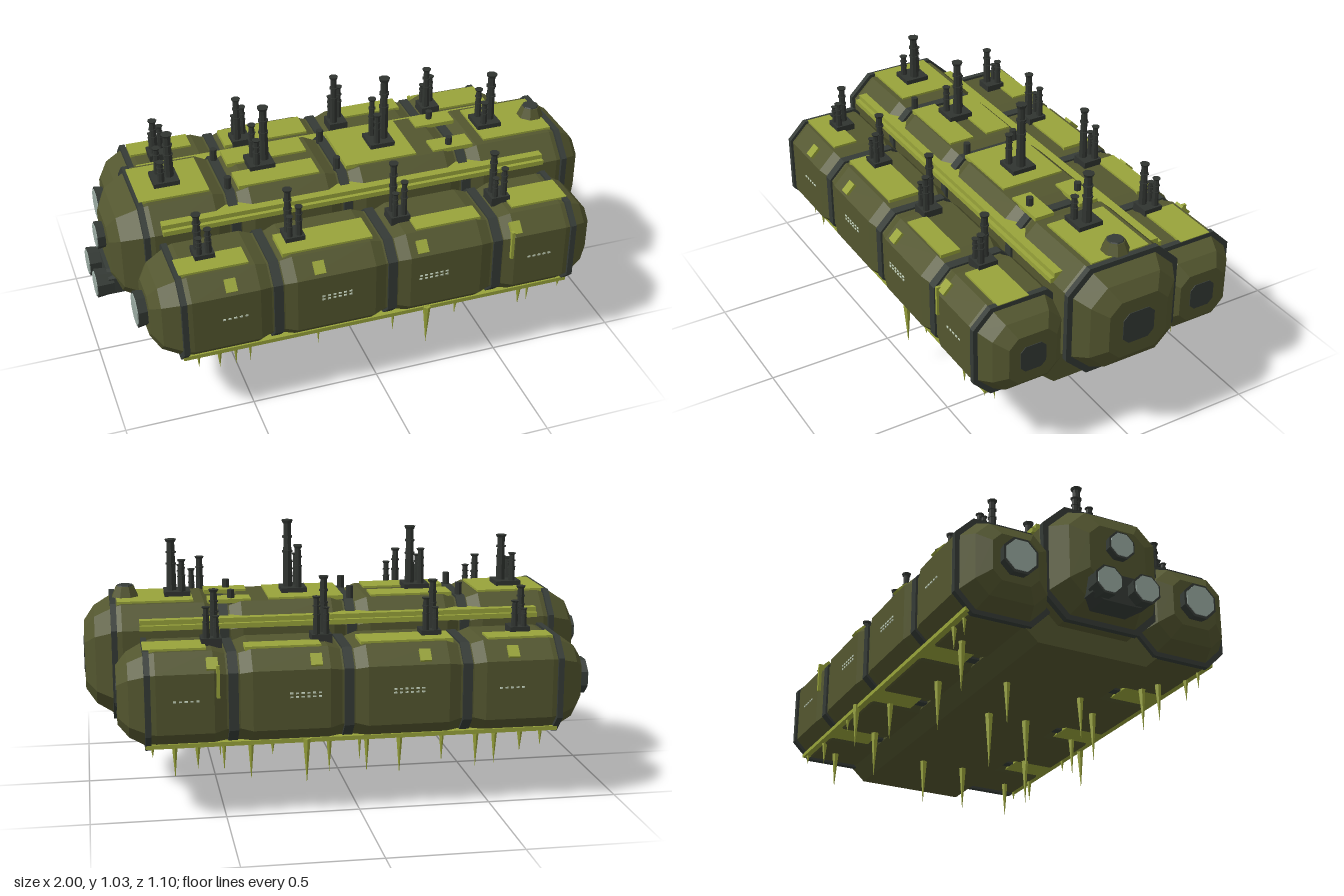
import * as THREE from 'three';

const mat = (name, hex) => {
  const m = new THREE.MeshStandardMaterial({ color: hex, flatShading: true });
  m.name = name;
  return m;
};

export function createModel() {
  const olive = mat('olive hull', 0x53562f);
  const steel = mat('dark steel', 0x353b36);
  const stackGrey = mat('stack grey', 0x303430);
  const lime = mat('lime moss', 0x98a33a);
  const glow = mat('engine glow', 0x9aaaa2);
  const pane = mat('window pane', 0xc4d2bc);

  const root = new THREE.Group();
  const add = (name, geo, material, x = 0, y = 0, z = 0, parent = root) => {
    const m = new THREE.Mesh(geo, material);
    m.name = name;
    m.position.set(x, y, z);
    parent.add(m);
    return m;
  };
  const box = (name, material, x0, x1, y0, y1, z0, z1) =>
    add(name, new THREE.BoxGeometry(x1 - x0, y1 - y0, Math.abs(z1 - z0)), material,
      (x0 + x1) / 2, (y0 + y1) / 2, (z0 + z1) / 2);

  // Chamfered octagon sections lofted along x; stations are [x, half size]
  const F = 0.62;
  const corners = [[1, -F], [1, F], [F, 1], [-F, 1], [-1, F], [-1, -F], [-F, -1], [F, -1]];
  function octLoft(stations, wide = 1) {
    const p = [];
    const pt = ([x, s], i) => [x, corners[i % 8][1] * s, corners[i % 8][0] * s * wide];
    for (let k = 0; k < stations.length - 1; k++) {
      for (let i = 0; i < 8; i++) {
        const a = pt(stations[k], i), b = pt(stations[k + 1], i);
        const c = pt(stations[k + 1], i + 1), d = pt(stations[k], i + 1);
        p.push(...a, ...b, ...c, ...a, ...c, ...d);
      }
    }
    const s0 = stations[0], s1 = stations[stations.length - 1];
    for (let i = 0; i < 8; i++) {
      p.push(s0[0], 0, 0, ...pt(s0, i), ...pt(s0, i + 1));
      p.push(s1[0], 0, 0, ...pt(s1, i + 1), ...pt(s1, i));
    }
    const g = new THREE.BufferGeometry();
    g.setAttribute('position', new THREE.Float32BufferAttribute(p, 3));
    g.computeVertexNormals();
    return g;
  }

  // Hull with faceted ends, pinched joints and dark bands
  function hull(name, y, z, h, wide, bands, stern, bow) {
    const g = new THREE.Group();
    g.name = name;
    g.position.set(0, y, z);
    root.add(g);
    const first = bands[0], last = bands[bands.length - 1];
    const st = [[stern, h * 0.5], [stern + 0.035, h * 0.77], [first, h * 0.96]];
    st.push([first + 0.03, h]);
    for (const b of bands.slice(1, -1)) {
      st.push([b - 0.07, h], [b - 0.025, h * 0.92], [b + 0.025, h * 0.92], [b + 0.07, h]);
    }
    st.push([last - 0.03, h], [last, h * 0.96], [bow - 0.04, h * 0.78], [bow, h * 0.54]);
    add(name + 'Shell', octLoft(st, wide), olive, 0, 0, 0, g);
    bands.forEach((b, i) => {
      const end = i === 0 || i === bands.length - 1;
      const w = end ? 0.011 : 0.018, s = end ? h * 1.03 : h * 0.965;
      add('hullBand', octLoft([[b - w, s], [b + w, s]], wide), steel, 0, 0, 0, g);
    });
    add('bowPlate', octLoft([[bow - 0.002, h * 0.29], [bow + 0.003, h * 0.29]], wide), steel, 0, 0, 0, g);
  }
  hull('centreHull', 0.52, 0, 0.218, 1.04, [-0.81, -0.465, -0.02, 0.47, 0.885], -0.935, 0.997);
  for (const s of [1, -1]) {
    hull('sideHull', 0.45, s * 0.365, 0.18, 1, [-0.755, -0.4, 0.045, 0.47, 0.78], -0.865, 0.887);
  }

  // Keel under the three hulls
  const keel = new THREE.Shape([[-0.22, 0.22], [0.22, 0.22], [0.28, 0.275], [0.28, 0.34], [-0.28, 0.34], [-0.28, 0.275]]
    .map(([a, b]) => new THREE.Vector2(a, b)));
  const keelGeo = new THREE.ExtrudeGeometry(keel, { depth: 1.55, bevelEnabled: false }).rotateY(Math.PI / 2);
  add('keel', keelGeo, olive, -0.75, 0, 0);

  // Engine nozzles with pale exhaust discs
  function nozzle(x0, x1, y, z, r) {
    const shell = new THREE.CylinderGeometry(r * 0.88, r, x1 - x0, 8).rotateZ(-Math.PI / 2);
    shell.rotateX(Math.PI / 8);
    add('nozzle', shell, steel, (x0 + x1) / 2, y, z);
    const disc = new THREE.CylinderGeometry(r * 0.86, r * 0.86, 0.006, 8).rotateZ(Math.PI / 2);
    add('exhaustDisc', disc.rotateX(Math.PI / 8), glow, x0 - 0.001, y, z);
  }
  nozzle(-0.965, -0.91, 0.553, 0, 0.055);
  for (const s of [1, -1]) {
    nozzle(-0.9, -0.84, 0.45, s * 0.365, 0.072);
    nozzle(-0.995, -0.93, 0.385, s * 0.075, 0.058);
  }
  add('lowerEnginePod', octLoft([[-0.95, 0.055], [-0.74, 0.055]], 2.1), steel, 0, 0.385, 0);

  // Moss slabs on the centre deck: x range, z range
  for (const [x0, x1, z0, z1] of [[-0.81, -0.54, -0.12, 0.12], [0, 0.29, -0.13, 0.13], [0.58, 0.87, -0.12, 0.12],
    [-0.43, -0.11, 0.03, 0.135], [-0.43, -0.11, -0.135, -0.03],
    [0.36, 0.525, 0.055, 0.135], [0.36, 0.525, -0.135, -0.055]]) {
    box('deckMoss', lime, x0, x1, 0.73, 0.746, z0, z1);
  }
  // Moss slabs on the side decks
  for (const [x0, x1, z0, z1] of [[-0.75, -0.49, 0.365, 0.465], [-0.36, -0.01, 0.33, 0.46], [0.16, 0.42, 0.39, 0.47],
    [0.56, 0.79, 0.325, 0.45], [-0.74, -0.49, -0.475, -0.385], [-0.36, -0.01, -0.46, -0.335],
    [0.14, 0.42, -0.475, -0.395], [0.56, 0.79, -0.46, -0.33]]) {
    box('sideDeckMoss', lime, x0, x1, 0.62, 0.638, z0, z1);
  }

  for (const s of [1, -1]) {
    // Ledges along the centre hull and under the side hulls
    box('upperLedge', lime, -0.75, 0.79, 0.672, 0.692, s * 0.15, s * 0.222);
    box('lowerLedge', lime, -0.75, 0.79, 0.655, 0.674, s * 0.15, s * 0.238);
    box('bottomLedge', lime, -0.76, 0.79, 0.275, 0.291, s * 0.32, s * 0.505);

    // Moss clumps on the shoulders, one with a long drip
    for (const x of [-0.575, -0.24, 0.165, 0.545]) {
      const clump = add('shoulderMoss', new THREE.BoxGeometry(0.042, 0.05, 0.026), lime, x, 0.587, s * 0.517);
      clump.rotation.x = -s * Math.PI / 4;
    }
    box('mossDrip', lime, 0.52, 0.532, 0.47, 0.59, s * 0.535, s * 0.551);

    // Window rows
    for (const [x0, n, rows] of [[-0.61, 5, 1], [-0.23, 6, 2], [0.155, 6, 2], [0.6, 5, 1]]) {
      for (let i = 0; i < n; i++) {
        for (let r = 0; r < rows; r++) {
          add('window', new THREE.BoxGeometry(0.011, 0.006, 0.004), pane, x0 + i * 0.021, 0.461 + r * 0.014, s * 0.546);
        }
      }
    }

    // Short vents on the centre deck
    for (const x of [-0.465, -0.03, 0.435]) {
      add('vent', new THREE.CylinderGeometry(0.014, 0.014, 0.08, 8), stackGrey, x, 0.738, s * 0.105);
    }

    // Hanging spikes: x, tip height, z, top height
    for (const [x, tip, z, top] of [[-0.7, 0.21, 0.48, 0.3], [-0.62, 0.19, 0.48, 0.28], [-0.54, 0.125, 0.41, 0.28],
      [-0.475, 0.105, 0.38, 0.28], [-0.395, 0.055, 0.155, 0.24], [-0.185, 0.075, 0.335, 0.28],
      [-0.105, 0, 0.08, 0.23], [0.1, 0.125, 0.405, 0.3], [0.2, 0.115, 0.505, 0.29], [0.325, 0.23, 0.49, 0.29],
      [0.39, 0.085, 0.345, 0.28], [0.47, 0.04, 0.09, 0.23], [0.6, 0.185, 0.48, 0.28], [0.68, 0.125, 0.4, 0.28],
      [0.765, 0.24, 0.49, 0.29]]) {
      const len = top - tip;
      add('spike', new THREE.ConeGeometry(0.008 + len * 0.042, len, 6).rotateX(Math.PI), lime, x, tip + len / 2, s * z);
    }
  }

  // Smoke stack: thick foot, slim pipe, collars
  function stack(x, y, z, top, r) {
    const h = top - y;
    const tube = (a, b, r0, r1) => add('stack', new THREE.CylinderGeometry(r1, r0, (b - a) * h, 8), stackGrey, x, y + (a + b) / 2 * h, z);
    tube(0, 0.55, r * 1.2, r * 1.05);
    tube(0.55, 1, r, r * 0.9);
    for (const c of [0.55, 0.76]) tube(c - 0.015, c + 0.015, r * 1.25, r * 1.25);
    tube(0.95, 1, r * 1.1, r * 1.4);
  }
  // Stack clusters: tall, medium and short on a square pad
  for (const [x, top] of [[-0.685, 0.945], [-0.31, 0.99], [0.18, 1.027], [0.635, 0.963]]) {
    box('stackPad', stackGrey, x - 0.05, x + 0.05, 0.73, 0.764, -0.05, 0.05);
    stack(x + 0.02, 0.75, 0, top, 0.016);
    stack(x - 0.018, 0.75, -0.03, 0.75 + (top - 0.75) * 0.64, 0.012);
    stack(x - 0.018, 0.75, 0.03, 0.75 + (top - 0.75) * 0.5, 0.012);
  }
  for (const s of [1, -1]) {
    for (const [x, top] of [[-0.635, 0.805], [-0.29, 0.84], [0.125, 0.867], [0.535, 0.83]]) {
      box('stackPad', stackGrey, x - 0.038, x + 0.038, 0.62, 0.656, s * 0.322, s * 0.4);
      stack(x - 0.014, 0.645, s * 0.347, top, 0.0135);
      stack(x + 0.018, 0.645, s * 0.381, 0.645 + (top - 0.645) * 0.69, 0.0115);
      stack(x - 0.018, 0.645, s * 0.383, 0.645 + (top - 0.645) * 0.5, 0.01);
    }
  }

  // Turret on the bow deck
  add('turretBase', new THREE.CylinderGeometry(0.036, 0.06, 0.055, 8).rotateY(Math.PI / 8), olive, 0.835, 0.758, 0);
  add('turretCap', new THREE.CylinderGeometry(0.03, 0.034, 0.006, 8).rotateY(Math.PI / 8), steel, 0.835, 0.787, 0);

  return root;
}
